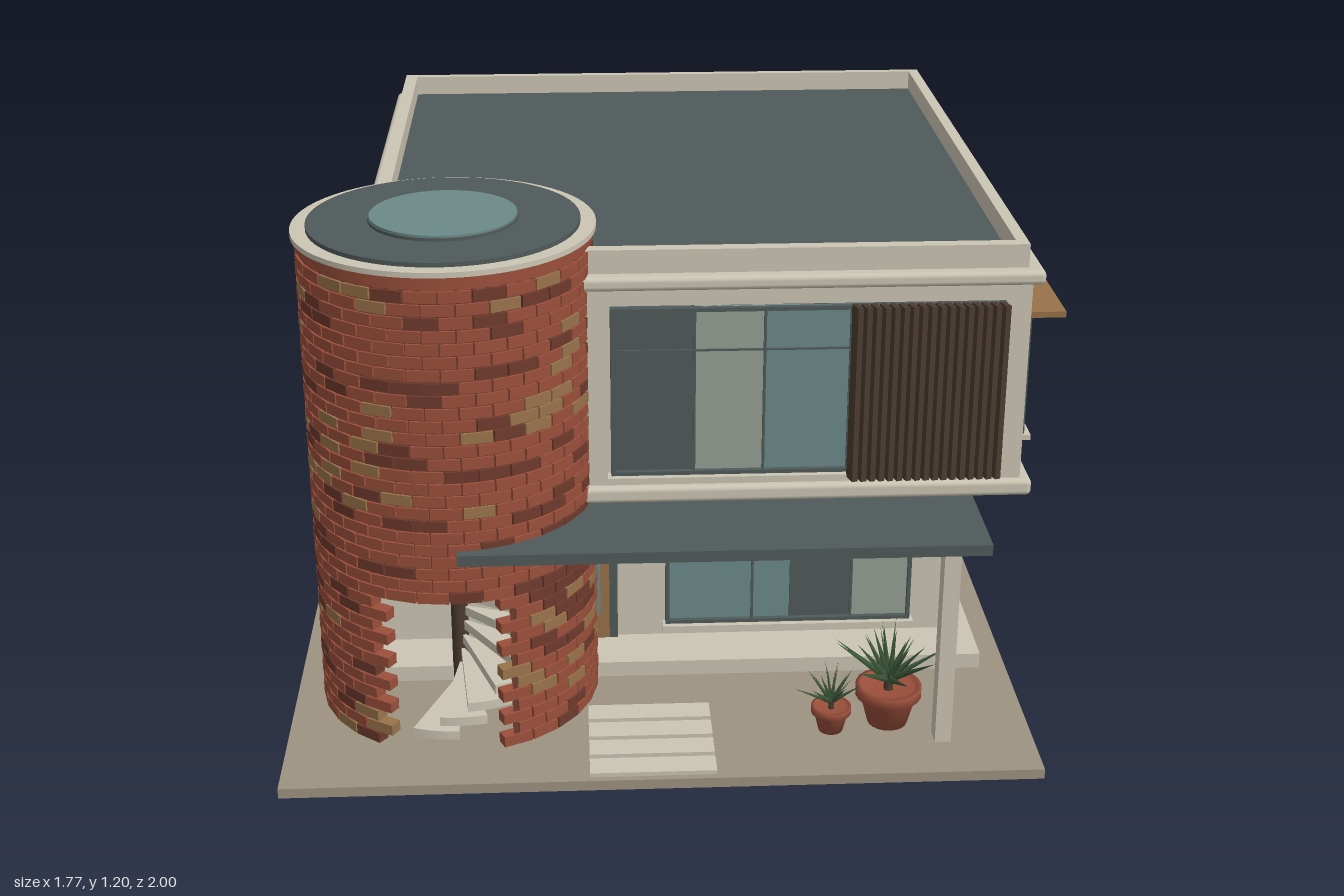
import * as THREE from 'three';
import { mergeGeometries } from 'three/addons/utils/BufferGeometryUtils.js';
import { RoundedBoxGeometry } from 'three/addons/geometries/RoundedBoxGeometry.js';

const mat = (name, color, side = THREE.FrontSide) => {
  const m = new THREE.MeshStandardMaterial({ color, side });
  m.name = name;
  return m;
};
const cream = mat('cream render', 0xcbc5b3);
const taupe = mat('taupe paving', 0x9e9380);
const slate = mat('slate grey', 0x505a5a);
const teal = mat('teal glass', 0x6b8a88);
const pale = mat('pale curtain', 0x959f94);
const brick = mat('brick red', 0x9a4f3b);
const darkBrick = mat('dark brick', 0x6e3a2d, THREE.DoubleSide);
const wood = mat('tan wood', 0x98724a);
const brown = mat('dark brown wood', 0x4a3b30);
const green = mat('leaf green', 0x3d5a3a);

let seed = 7;
const rand = () => (seed = (seed * 16807) % 2147483647) / 2147483647;

function add(parent, name, geo, material, x = 0, y = 0, z = 0) {
  const m = new THREE.Mesh(geo, material);
  m.name = name;
  m.position.set(x, y, z);
  parent.add(m);
  return m;
}
// box given by its extents
function box(parent, name, material, x0, x1, y0, y1, z0, z1, radius = 0) {
  const s = [x1 - x0, y1 - y0, z1 - z0];
  const geo = radius ? new RoundedBoxGeometry(...s, 2, radius) : new THREE.BoxGeometry(...s);
  return add(parent, name, geo, material, (x0 + x1) / 2, (y0 + y1) / 2, (z0 + z1) / 2);
}
function group(parent, name, x, y, z, turn = 0) {
  const g = new THREE.Group();
  g.name = name;
  g.position.set(x, y, z);
  g.rotation.y = turn;
  parent.add(g);
  return g;
}

// window facing local +z; panes are [end fraction, material], bar is the transom height fraction
function windowUnit(parent, name, x, y, z, turn, w, h, panes, bar = 0.77) {
  const g = group(parent, name, x, y, z, turn), t = 0.009, d = 0.02;
  let from = 0;
  for (const [to, m] of panes) {
    box(g, 'pane', m, (from - 0.5) * w, (to - 0.5) * w, 0, h, 0, 0.008);
    if (to < 1) box(g, 'mullion', slate, (to - 0.5) * w - 0.003, (to - 0.5) * w + 0.003, 0, h, 0.004, 0.014);
    from = to;
  }
  for (const s of [-1, 1]) box(g, 'frameSide', slate, s * w / 2 - t / 2, s * w / 2 + t / 2, 0, h, 0, d);
  box(g, 'frameTop', slate, -w / 2, w / 2, h - t, h, 0, d);
  box(g, 'frameBottom', slate, -w / 2, w / 2, 0, t, 0, d);
  box(g, 'transom', slate, -w / 2, w / 2, h * bar - 0.002, h * bar + 0.002, 0.004, 0.013);
  box(g, 'sill', cream, -w / 2 - 0.012, w / 2 + 0.012, -0.013, 0, 0, 0.034);
}

// louvred shutter facing local +z
function shutter(parent, x, y, z, turn, w, h, m) {
  const g = group(parent, 'shutter', x, y, z, turn);
  box(g, 'shutterBack', slate, -w / 2, w / 2, 0, h, 0, 0.006);
  for (const s of [-1, 0, 1]) {
    const c = s * (w / 2 - 0.007);
    box(g, 'stile', m, c - 0.007, c + 0.007, 0, h, 0, 0.022);
  }
  for (let i = 0; i < 9; i++) {
    const louvre = add(g, 'louvre', new THREE.BoxGeometry(w - 0.01, h / 11, 0.005), m, 0, h * (i + 0.5) / 9, 0.012);
    louvre.rotation.x = -0.35;
  }
  box(g, 'sill', cream, -w / 2 - 0.01, w / 2 + 0.01, -0.012, 0, 0, 0.03);
}

function pottedPlant(parent, x, z, r, potH, leafLen, leaves) {
  const g = group(parent, 'pottedPlant', x, 0.024, z);
  const profile = [[0, 0], [r * 0.6, 0], [r * 0.85, potH * 0.75], [r, potH * 0.75], [r, potH], [r * 0.85, potH], [r * 0.8, potH * 0.88], [0, potH * 0.88]];
  add(g, 'pot', new THREE.LatheGeometry(profile.map(p => new THREE.Vector2(...p)), 20), brick);
  add(g, 'stem', new THREE.CylinderGeometry(r * 0.12, r * 0.16, potH * 0.6, 6), brown, 0, potH * 1.1, 0);
  for (let i = 0; i < leaves; i++) {
    const len = leafLen * (0.7 + 0.3 * rand());
    const geo = new THREE.ConeGeometry(r * 0.13, len, 4).scale(1, 1, 0.5).translate(0, len / 2, 0);
    const leaf = add(g, 'leaf', geo, green, 0, potH * 1.15, 0);
    leaf.rotation.set(0, i * 2.4, -(0.1 + 1.15 * i / leaves), 'YXZ');
  }
}

// brick stair tower with a doorway on its front
function stairTower(parent) {
  const g = group(parent, 'stairTower', -0.5, 0, 0.548);
  const R = 0.325, courses = 38, per = 28, y0 = 0.022, ch = 0.0292, step = Math.PI * 2 / per;
  const gapFrom = -0.56, gapTo = 0.36, gapTop = 0.405;
  const sets = new Map([[brick, []], [darkBrick, []], [wood, []]]);
  for (let c = 0; c < courses; c++) {
    const y = y0 + (c + 0.5) * ch;
    for (let i = 0; i < per; i++) {
      let a = (i + (c % 2) / 2) * step;
      if (a > Math.PI) a -= Math.PI * 2;
      const pick = rand();
      if (y < gapTop && a > gapFrom && a < gapTo) continue;
      const geo = new THREE.BoxGeometry(R * step - 0.004, ch - 0.004, 0.03);
      geo.translate(0, y, R - 0.015).rotateY(a);
      sets.get(pick < 0.68 ? brick : pick < 0.87 ? darkBrick : wood).push(geo);
    }
  }
  for (const [m, list] of sets) add(g, 'bricks', mergeGeometries(list), m);
  const topY = y0 + courses * ch;
  const tube = (r, a, b, from = 0, len = Math.PI * 2) =>
    new THREE.CylinderGeometry(r, r, b - a, 56, 1, true, from, len).translate(0, (a + b) / 2, 0);
  add(g, 'mortarUpper', tube(R - 0.005, gapTop, topY), darkBrick);
  add(g, 'mortarLower', tube(R - 0.005, y0, gapTop, gapTo + 0.06, Math.PI * 2 - (gapTo - gapFrom) - 0.12), darkBrick);
  // crown
  const disc = (name, m, r, a, b) => add(g, name, new THREE.CylinderGeometry(r, r, b - a, 64), m, 0, (a + b) / 2, 0);
  disc('corbelLower', brick, 0.32, topY - 0.004, 1.145);
  disc('corbelUpper', brick, 0.328, 1.145, 1.163);
  disc('coping', cream, 0.334, 1.163, 1.175);
  disc('towerRoof', slate, 0.3, 1.175, 1.185);
  disc('skylightCurb', slate, 0.165, 1.185, 1.192);
  disc('skylight', teal, 0.162, 1.192, 1.197);
  // spiral stair
  add(g, 'stairPost', new THREE.CylinderGeometry(0.02, 0.02, 0.6, 16), brown, 0, 0.32, 0);
  const wedge = new THREE.Shape();
  wedge.moveTo(0, 0);
  wedge.absarc(0, 0, 0.27, -0.2, 0.2, false);
  wedge.lineTo(0, 0);
  const tread = new THREE.ExtrudeGeometry(wedge, { depth: 0.022, bevelEnabled: false, curveSegments: 5 }).rotateX(-Math.PI / 2);
  for (let i = 0; i < 13; i++) add(g, 'tread', tread, cream, 0, 0.024 + i * 0.036, 0).rotation.y = -1.75 + i * 0.24;
}

function houseBody(parent) {
  const g = group(parent, 'house', 0, 0, 0);
  box(g, 'plinth', cream, -0.775, 0.748, 0.02, 0.062, -0.948, 0.553);
  box(g, 'lowerWalls', cream, -0.735, 0.682, 0.06, 0.54, -0.93, 0.42);
  box(g, 'floorBand', cream, -0.712, 0.818, 0.535, 0.575, -0.944, 0.662, 0.012);
  box(g, 'upperWalls', cream, -0.69, 0.792, 0.565, 1.055, -0.932, 0.645);
  box(g, 'corniceBand', cream, -0.708, 0.818, 1.045, 1.078, -0.944, 0.662, 0.012);
  const rect = (C, x0, x1, a, b) => new C([[x0, a], [x1, a], [x1, b], [x0, b]].map(p => new THREE.Vector2(...p)));
  const ring = rect(THREE.Shape, -0.68, 0.783, -0.632, 0.925);
  ring.holes.push(rect(THREE.Path, -0.648, 0.756, -0.602, 0.902));
  add(g, 'parapet', new THREE.ExtrudeGeometry(ring, { depth: 0.06, bevelEnabled: false }).rotateX(-Math.PI / 2), cream, 0, 1.072, 0);
  box(g, 'flatRoof', slate, -0.65, 0.758, 1.06, 1.082, -0.905, 0.605);
}

export function createModel() {
  const model = new THREE.Group();
  model.name = 'brickTowerHouse';
  box(model, 'groundSlab', taupe, -0.885, 0.812, 0, 0.024, -1, 1);
  houseBody(model);
  stairTower(model);

  // front windows, slatted screen and door
  windowUnit(model, 'frontUpperWindow', 0.297, 0.607, 0.645, 0, 0.865, 0.4,
    [[0.21, slate], [0.39, pale], [0.61, teal], [1, slate]], 0.745);
  for (let i = 0; i < 17; i++) {
    const slat = add(model, 'screenSlat', new THREE.BoxGeometry(0.013, 0.415, 0.032), brown, 0.4 + i * 0.0202, 0.808, 0.69);
    slat.rotation.y = 0.3;
  }
  for (const y of [0.61, 1.0]) box(model, 'screenRail', brown, 0.39, 0.732, y - 0.006, y + 0.006, 0.65, 0.68);
  windowUnit(model, 'frontLowerWindow', 0.293, 0.1, 0.42, 0, 0.59, 0.392,
    [[0.35, teal], [0.51, teal], [0.76, slate], [1, pale]], 0.74);
  box(model, 'doorFrame', slate, -0.335, -0.123, 0.062, 0.455, 0.42, 0.432);
  box(model, 'door', wood, -0.315, -0.143, 0.066, 0.437, 0.425, 0.438);
  box(model, 'doorGlass', teal, -0.2, -0.165, 0.13, 0.4, 0.436, 0.441);

  // windows and awnings on the model's left side
  const side = Math.PI / 2;
  const upper = [[0.34, teal], [0.66, teal], [1, slate]];
  for (const z of [0.315, -0.455]) {
    windowUnit(model, 'sideUpperWindow', 0.792, 0.652, z, side, 0.51, 0.29, upper);
    box(model, 'awning', wood, 0.79, 0.885, 0.942, 0.956, z - 0.273, z + 0.273);
  }
  windowUnit(model, 'sideLowerWindow', 0.682, 0.174, 0.05, side, 0.395, 0.26, [[0.22, slate], [0.5, slate], [0.82, teal], [1, teal]]);
  windowUnit(model, 'sideLowerWindow', 0.682, 0.174, -0.537, side, 0.41, 0.26, [[0.34, slate], [0.67, teal], [1, teal]]);

  // back window and shutters
  windowUnit(model, 'backWindow', 0.235, 0.67, -0.932, Math.PI, 0.48, 0.26, [[0.36, slate], [0.68, teal], [1, teal]]);
  shutter(model, -0.385, 0.67, -0.932, Math.PI, 0.26, 0.255, brick);
  for (const z of [-0.628, -0.1, 0.372]) shutter(model, -0.69, 0.67, z, -side, 0.257, 0.255, brown);

  // porch
  box(model, 'canopy', slate, -0.48, 0.686, 0.506, 0.532, 0.42, 0.895);
  box(model, 'porchColumn', cream, 0.585, 0.622, 0.024, 0.506, 0.832, 0.878);
  for (let i = 0; i < 4; i++) box(model, 'pathStep', cream, -0.2, 0.082, 0.024, 0.034, 0.925 - i * 0.075, 0.985 - i * 0.075);
  pottedPlant(model, 0.355, 0.81, 0.046, 0.062, 0.1, 18);
  pottedPlant(model, 0.49, 0.78, 0.076, 0.096, 0.16, 24);
  return model;
}
